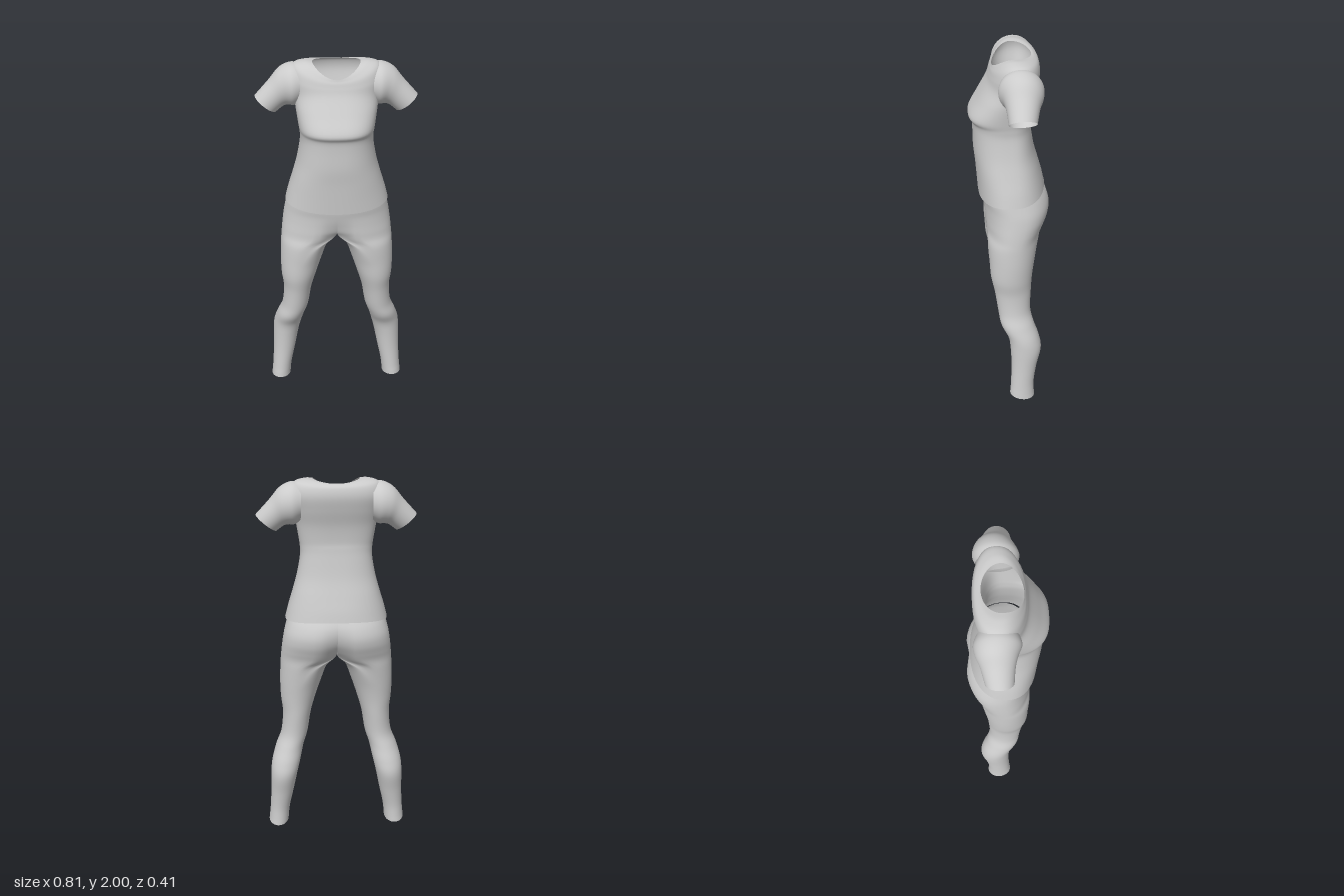
import * as THREE from 'three';

const SEG = 48, STEPS = 6;
const material = new THREE.MeshStandardMaterial({ color: 0xcccccc, side: THREE.DoubleSide });

// Smooth Catmull-Rom refinement of a table of section rows
function refine(rows) {
  const out = [], last = rows.length - 1;
  for (let i = 0; i < last; i++) {
    const [a, b, c, d] = [rows[Math.max(i - 1, 0)], rows[i], rows[i + 1], rows[Math.min(i + 2, last)]];
    for (let k = 0; k < STEPS; k++) {
      const t = k / STEPS;
      out.push(b.map((p, n) => p + 0.5 * t * (c[n] - a[n]
        + t * (2 * a[n] - 5 * p + 4 * c[n] - d[n] + t * (3 * (p - c[n]) + d[n] - a[n])))));
    }
  }
  out.push(rows[last]);
  return out;
}

// Skin over closed rings; pointAt(row, angle) gives [x, y, z], side -1 mirrors it
function loft(name, rows, pointAt, side = 1) {
  const pos = [], index = [], rings = refine(rows);
  rings.forEach((row, i) => {
    for (let j = 0; j < SEG; j++) {
      const [x, y, z] = pointAt(row, (j / SEG) * Math.PI * 2);
      pos.push(x * side, y, z);
      if (i === rings.length - 1) continue;
      const a = i * SEG + j, b = i * SEG + (j + 1) % SEG, c = a + SEG, d = b + SEG;
      if (side > 0) index.push(a, c, b, b, c, d);
      else index.push(a, b, c, b, d, c);
    }
  });
  const geo = new THREE.BufferGeometry();
  geo.setAttribute('position', new THREE.Float32BufferAttribute(pos, 3));
  geo.setIndex(index);
  geo.computeVertexNormals();
  const mesh = new THREE.Mesh(geo, material);
  mesh.name = name;
  return mesh;
}

const power = (v, n) => Math.sign(v) * Math.pow(Math.abs(v), 2 / n);
const mix = THREE.MathUtils.lerp;

// Shirt body, hem to neckline: half width, z front, z back, z of sides, y side, y front, y back, squareness
const shirtRows = [
  [0.272, 0.165, -0.182, 0, 1.265, 1.24, 1.285, 2.3],
  [0.255, 0.17, -0.17, 0, 1.33, 1.32, 1.34, 2.3],
  [0.23, 0.176, -0.15, 0, 1.41, 1.41, 1.41, 2.4],
  [0.205, 0.184, -0.125, 0, 1.5, 1.5, 1.5, 2.4],
  [0.187, 0.185, -0.108, 0, 1.6, 1.6, 1.6, 2.5],
  [0.187, 0.189, -0.102, 0, 1.65, 1.65, 1.65, 2.5],
  [0.192, 0.205, -0.1, 0, 1.69, 1.69, 1.69, 2.6],
  [0.204, 0.16, -0.11, -0.01, 1.77, 1.77, 1.77, 2.5],
  [0.213, 0.115, -0.132, -0.03, 1.84, 1.85, 1.85, 2.4],
  [0.23, 0.1, -0.145, -0.04, 1.92, 1.89, 1.915, 2.3],
  [0.213, 0.093, -0.138, -0.035, 1.978, 1.912, 1.96, 2.2],
  [0.16, 0.088, -0.12, -0.025, 1.996, 1.923, 1.977, 2.1],
  [0.118, 0.085, -0.105, -0.015, 1.994, 1.932, 1.98, 2],
];
function shirtPoint([w, zf, zb, zc, ys, yf, yb, n], t) {
  const c = Math.cos(t), s = Math.sin(t);
  return [w * power(c, n), mix(ys, s > 0 ? yf : yb, s * s),
    zc + power(s, n) * (s > 0 ? zf - zc : zc - zb)];
}

// Sleeve, shoulder to cuff: top x, top y, underside x, underside y, z front, z back
const sleeveRows = [
  [0.175, 1.975, 0.18, 1.79, 0.06, -0.13],
  [0.225, 1.982, 0.21, 1.772, 0.07, -0.144],
  [0.283, 1.955, 0.24, 1.772, 0.052, -0.136],
  [0.335, 1.895, 0.265, 1.765, 0.04, -0.116],
  [0.405, 1.82, 0.302, 1.737, 0.034, -0.098],
];
function sleevePoint([tx, ty, ux, uy, zf, zb], t) {
  const k = (1 + Math.cos(t)) / 2;
  return [mix(ux, tx, k), mix(uy, ty, k), (zf + zb) / 2 - Math.sin(t) * (zf - zb) / 2];
}

// Trouser half, ankle to waist: y, inner x, outer x, z front, z back, hip blend, front dip, back cleft
const legRows = [
  [0.01, 0.285, 0.398, 0.024, -0.118, 0, 0, 0],
  [0.1, 0.275, 0.388, 0.018, -0.114, 0, 0, 0],
  [0.22, 0.25, 0.38, 0.014, -0.13, 0, 0, 0],
  [0.34, 0.226, 0.376, 0.018, -0.154, 0, 0, 0],
  [0.42, 0.207, 0.367, 0.03, -0.142, 0, 0, 0],
  [0.5, 0.188, 0.343, 0.068, -0.115, 0, 0, 0],
  [0.58, 0.163, 0.312, 0.082, -0.097, 0, 0, 0],
  [0.7, 0.143, 0.3, 0.098, -0.1, 0, 0, 0],
  [0.8, 0.115, 0.309, 0.117, -0.106, 0, 0, 0],
  [0.9, 0.083, 0.31, 0.123, -0.12, 0.05, 0, 0],
  [1.0, 0.047, 0.305, 0.134, -0.143, 0.35, 0.2, 0.25],
  [1.055, 0, 0.3, 0.138, -0.166, 0.85, 0.4, 0.5],
  [1.1, 0, 0.295, 0.14, -0.186, 1, 0.2, 0.35],
  [1.15, 0, 0.288, 0.14, -0.205, 1, 0.07, 0.22],
  [1.2, 0, 0.279, 0.142, -0.21, 1, 0, 0.14],
  [1.25, 0, 0.266, 0.149, -0.196, 1, 0, 0.06],
  [1.3, 0, 0.252, 0.145, -0.165, 1, 0, 0],
];
function legPoint([y, xi, xo, zf, zb, hip, dipF, dipB], t) {
  const c = Math.cos(t), s = Math.sin(t), zc = (zf + zb) / 2, r = (zf - zb) / 2;
  // Round leg section
  const ex = (xi + xo) / 2 + c * (xo - xi) / 2, ez = zc + s * r;
  // Half pelvis section, flat along the middle seam
  const outer = c > 0 ? power(c, 2.3) * (xo - xi) : 0;
  const dip = 1 - (s > 0 ? dipF : dipB) * Math.exp(-((outer / 0.06) ** 2));
  const hz = zc + (c > 0 ? power(s, 2.3) : s) * r * dip;
  return [mix(ex, xi + outer, hip), y + (y < 0.05 ? 0.01 * s : 0), mix(ez, hz, hip)];
}

export function createModel() {
  const model = new THREE.Group();
  model.name = 'clothedFigure';

  const shirt = new THREE.Group();
  shirt.name = 'shirt';
  shirt.add(loft('shirtBody', shirtRows, shirtPoint));

  const trousers = new THREE.Group();
  trousers.name = 'trousers';

  for (const [label, side] of [['left', 1], ['right', -1]]) {
    shirt.add(loft(label + 'Sleeve', sleeveRows, sleevePoint, side));
    trousers.add(loft(label + 'TrouserLeg', legRows, legPoint, side));
  }
  model.add(shirt, trousers);
  return model;
}
